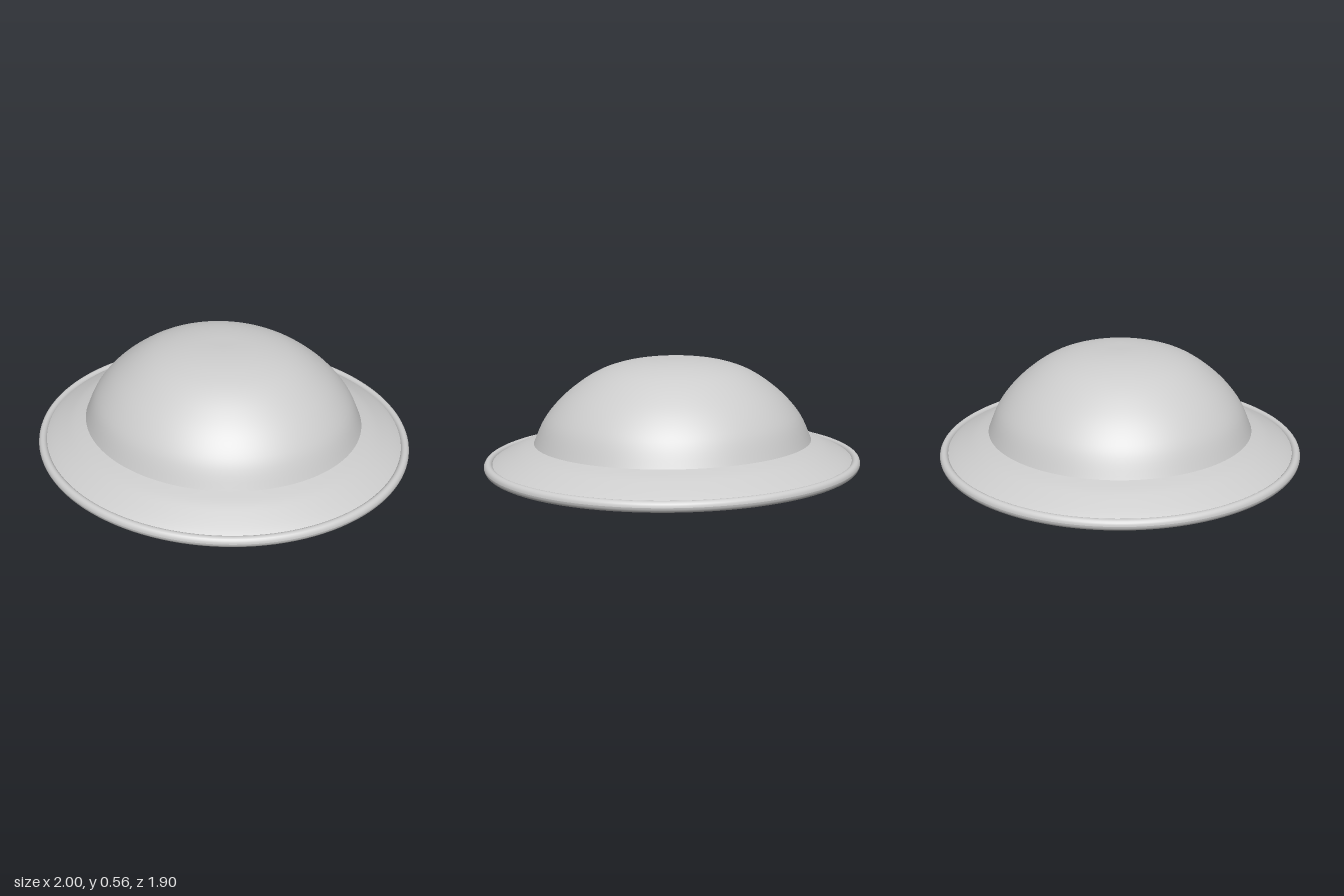
import * as THREE from 'three';

const SEGMENTS = 128;
const INSET = 0.052; // how much shorter the oval is along z than along x

// Turn a profile of [radius, height] pairs into a smooth oval ring
function ovalLathe(points) {
  const geometry = new THREE.LatheGeometry(points, SEGMENTS);
  const p = geometry.attributes.position;
  for (let i = 0; i < p.count; i++) {
    const r = Math.hypot(p.getX(i), p.getZ(i));
    // constant inset outside the crown, proportional inside it
    p.setZ(i, p.getZ(i) * (1 - INSET / Math.max(r, 0.745)));
  }
  return geometry;
}

function smoothProfile(pairs, steps) {
  return new THREE.SplineCurve(pairs.map(([x, y]) => new THREE.Vector2(x, y))).getPoints(steps);
}

export function createModel() {
  const group = new THREE.Group();
  group.name = 'helmet';
  const steel = new THREE.MeshStandardMaterial({ color: 0xcccccc, side: THREE.DoubleSide });
  steel.name = 'pale grey steel';

  function add(name, points) {
    const mesh = new THREE.Mesh(ovalLathe(points), steel);
    mesh.name = name;
    group.add(mesh);
  }

  // Crown: an open, slightly flattened dome
  add('crown', smoothProfile([
    [0.745, 0.133], [0.69, 0.25], [0.605, 0.352], [0.5, 0.437], [0.4, 0.495],
    [0.3, 0.53], [0.2, 0.55], [0.1, 0.559], [0, 0.56],
  ], 40));

  // Brim: a thin sloping skirt that steepens outwards
  add('brim', smoothProfile([
    [0.968, 0.033], [0.93, 0.055], [0.87, 0.085], [0.81, 0.112], [0.745, 0.133],
  ], 16));

  // Rim: a rolled edge with a round section
  const rim = [];
  for (let i = 0; i <= 20; i++) {
    const a = (i / 20) * Math.PI * 2;
    rim.push(new THREE.Vector2(0.977 + 0.023 * Math.cos(a), 0.026 + 0.026 * Math.sin(a)));
  }
  add('rim', rim);

  return group;
}
